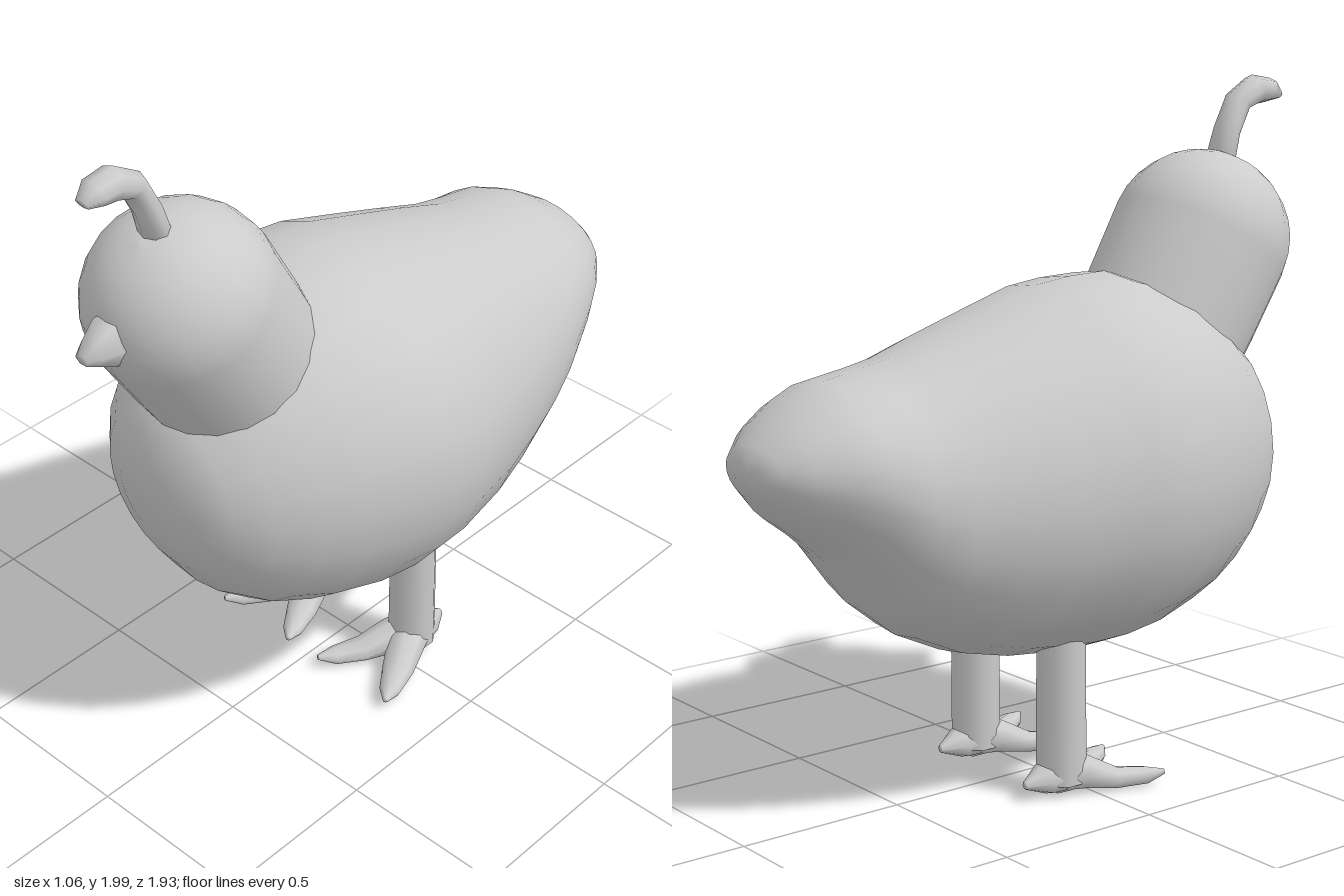
import * as THREE from 'three';

const material = new THREE.MeshStandardMaterial({ color: 0xcccccc, side: THREE.DoubleSide });

function part(name, geometry, parent) {
  const mesh = new THREE.Mesh(geometry, material);
  mesh.name = name;
  parent.add(mesh);
  return mesh;
}

// Skins elliptical rings [z, y, halfWidth, halfThickness] that follow a path in the yz plane.
// Upright rings stay vertical; otherwise they turn with the path. Both ends are closed.
function loft(rings, sides, upright = false) {
  const pos = [], index = [];
  const closed = [[...rings[0].slice(0, 2), 0, 0], ...rings, [...rings.at(-1).slice(0, 2), 0, 0]];
  closed.forEach(([z, y, w, h], i) => {
    const k = Math.min(Math.max(i - 1, 0), rings.length - 1);
    const a = rings[Math.max(k - 1, 0)], b = rings[Math.min(k + 1, rings.length - 1)];
    const len = Math.hypot(b[0] - a[0], b[1] - a[1]);
    const tz = upright ? 1 : (b[0] - a[0]) / len, ty = upright ? 0 : (b[1] - a[1]) / len;
    for (let j = 0; j < sides; j++) {
      const t = (j / sides) * Math.PI * 2;
      pos.push(w * Math.cos(t), y + h * Math.sin(t) * tz, z - h * Math.sin(t) * ty);
    }
    if (i === 0) return;
    for (let j = 0; j < sides; j++) {
      const n = (j + 1) % sides, p = (i - 1) * sides, q = i * sides;
      index.push(p + j, p + n, q + j, p + n, q + n, q + j);
    }
  });
  const geo = new THREE.BufferGeometry();
  geo.setAttribute('position', new THREE.Float32BufferAttribute(pos, 3));
  geo.setIndex(index);
  geo.computeVertexNormals();
  return geo;
}

export function createModel() {
  const bird = new THREE.Group();
  bird.name = 'bird';

  // Body from tail to breast: [z, bottom, top, halfWidth]
  const sections = [
    [-0.965, 0.99, 1.07, 0.06], [-0.94, 0.95, 1.1, 0.14], [-0.88, 0.88, 1.16, 0.21],
    [-0.8, 0.82, 1.21, 0.27], [-0.72, 0.75, 1.245, 0.315], [-0.6, 0.59, 1.265, 0.355],
    [-0.5, 0.51, 1.285, 0.385], [-0.35, 0.44, 1.335, 0.43], [-0.2, 0.405, 1.38, 0.475],
    [0, 0.385, 1.44, 0.52], [0.12, 0.388, 1.455, 0.53], [0.25, 0.405, 1.46, 0.515],
    [0.4, 0.445, 1.42, 0.465], [0.52, 0.5, 1.36, 0.4], [0.62, 0.58, 1.28, 0.33],
    [0.7, 0.7, 1.19, 0.24], [0.74, 0.8, 1.12, 0.155], [0.757, 0.91, 1.03, 0.06],
  ];
  part('body', loft(sections.map(([z, lo, hi, w]) => [z, (lo + hi) / 2, w, (hi - lo) / 2]), 24, true), bird);

  // Head and neck: a domed column leaning forward
  const profile = [new THREE.Vector2(0.25, -0.48), new THREE.Vector2(0.263, -0.22)];
  for (let i = 0; i <= 8; i++) {
    const a = (i / 8) * Math.PI / 2;
    profile.push(new THREE.Vector2(0.268 * Math.cos(a), 0.265 * Math.sin(a)));
  }
  const head = part('head', new THREE.LatheGeometry(profile, 20), bird);
  head.position.set(0, 1.525, 0.622);
  head.rotation.x = 0.546;

  // Blunt beak
  part('beak', loft([[0.85, 1.52, 0.07, 0.07], [0.888, 1.52, 0.068, 0.07],
    [0.935, 1.512, 0.045, 0.04], [0.966, 1.505, 0.025, 0.018]], 6), bird);

  // Crest plume curling forward
  part('crest', loft([[0.69, 1.72, 0.052, 0.04], [0.725, 1.84, 0.045, 0.036],
    [0.768, 1.925, 0.044, 0.038], [0.835, 1.958, 0.05, 0.045],
    [0.89, 1.955, 0.048, 0.036], [0.928, 1.94, 0.025, 0.014]], 8), bird);

  // Legs, each with two splayed front toes and a rear spur
  const toe = [[-0.02, 0.075, 0.065, 0.06], [0.07, 0.068, 0.058, 0.05],
    [0.16, 0.045, 0.048, 0.03], [0.25, 0.045, 0.032, 0.025], [0.303, 0.052, 0.008, 0.008]];
  const spur = [[-0.02, 0.075, 0.065, 0.06], [0.06, 0.065, 0.055, 0.045], [0.13, 0.06, 0.012, 0.012]];
  for (const side of [1, -1]) {
    const leg = new THREE.Group();
    leg.name = side > 0 ? 'leftLeg' : 'rightLeg';
    leg.position.set(side * 0.2, 0, -0.07);
    bird.add(leg);
    part('shank', new THREE.CylinderGeometry(0.07, 0.072, 0.43, 10), leg).position.y = 0.265;
    part('innerToe', loft(toe, 8), leg).rotation.y = -side * 0.47;
    part('outerToe', loft(toe, 8), leg).rotation.y = side * 0.47;
    part('rearSpur', loft(spur, 8), leg).rotation.y = Math.PI;
  }
  return bird;
}
